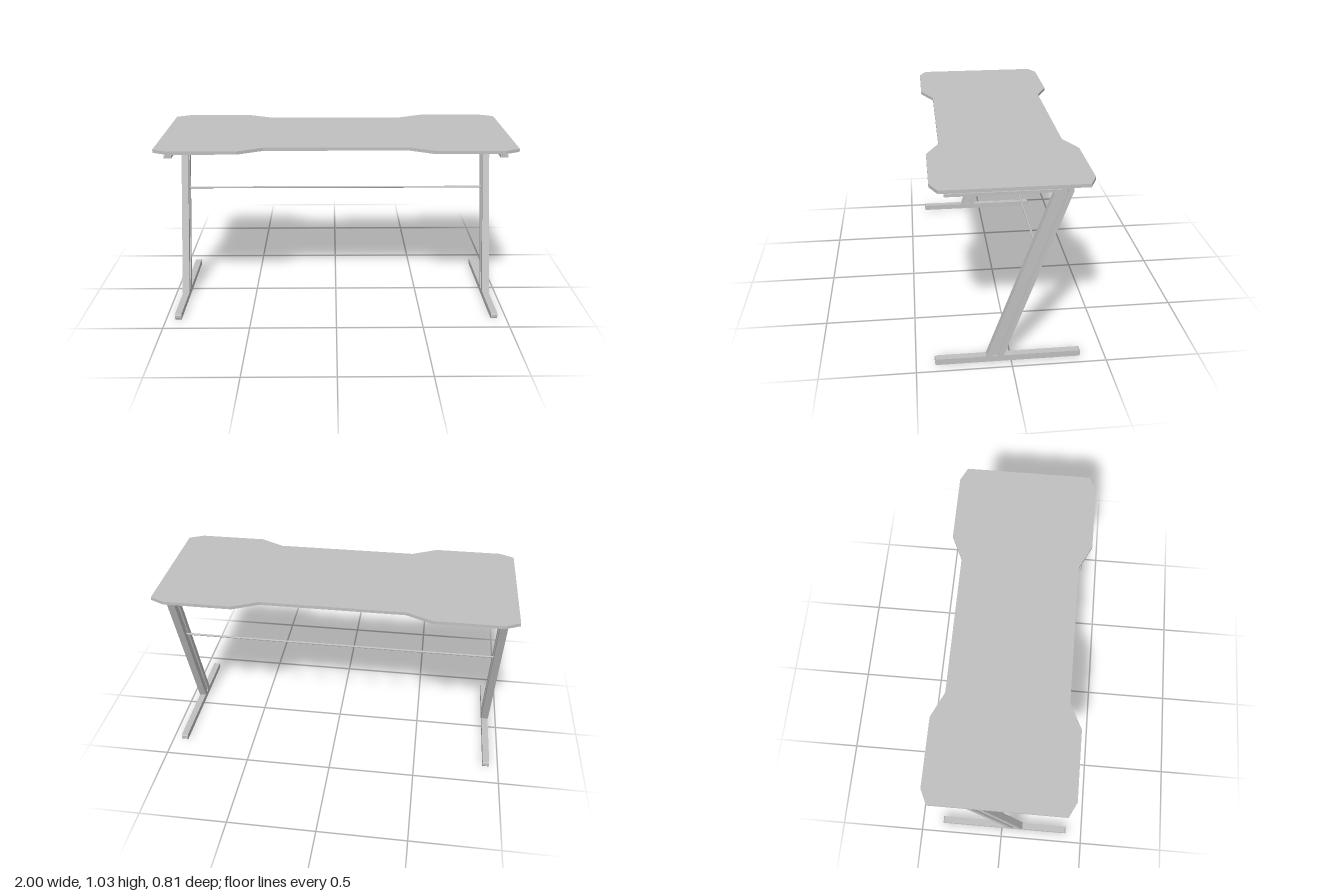
import * as THREE from 'three';

const grey = new THREE.MeshStandardMaterial({ color: 0xc0c0c0 });
grey.name = 'light grey';

// Extrude a [z, y] side profile along x, centred on x = cx
function sideExtrude(points, width, cx, name) {
  const shape = new THREE.Shape(points.map(([z, y]) => new THREE.Vector2(-z, y)));
  const geo = new THREE.ExtrudeGeometry(shape, { depth: width, bevelEnabled: false });
  geo.rotateY(Math.PI / 2);
  geo.translate(cx - width / 2, 0, 0);
  const mesh = new THREE.Mesh(geo, grey);
  mesh.name = name;
  return mesh;
}

// Contours of the leg frame, from its outer edge to its inner edge
const contours = [
  [[0.33, 1.01], [-0.295, 1.01], [-0.295, 0.97], [0.04, 0.034]],
  [[0.33, 0.997], [-0.265, 0.997], [-0.265, 0.967], [0.07, 0.034]],
  [[0.33, 0.983], [-0.235, 0.983], [-0.235, 0.97], [0.10, 0.034]],
  [[0.33, 0.968], [-0.203, 0.968], [0.13, 0.034]],
];

function createLeg(side) {
  const leg = new THREE.Group();
  leg.name = side > 0 ? 'leftLeg' : 'rightLeg';
  const cx = side * 0.928;
  // Three strips; the middle one is narrower and forms a groove on both sides
  ['outerRail', 'groove', 'innerRail'].forEach((name, i) => {
    const outline = [...contours[i], ...[...contours[i + 1]].reverse()];
    leg.add(sideExtrude(outline, i === 1 ? 0.022 : 0.042, cx, name));
  });
  // Foot bar with slightly pointed end caps
  leg.add(sideExtrude([
    [0.396, 0], [0.402, 0.008], [0.402, 0.026], [0.396, 0.034],
    [-0.364, 0.034], [-0.37, 0.026], [-0.37, 0.008], [-0.364, 0],
  ], 0.038, cx, 'foot'));
  return leg;
}

function createTabletop() {
  // Right half of the outline, from back to front, then mirrored
  const half = [
    [0.40, -0.337], [0.54, -0.403], [0.92, -0.403], [1, -0.365],
    [1, 0.36], [0.92, 0.4], [0.54, 0.4], [0.40, 0.33],
  ];
  const outline = [...half, ...half.map(([x, z]) => [-x, z]).reverse()];
  const shape = new THREE.Shape(outline.map(([x, z]) => new THREE.Vector2(x, -z)));
  const geo = new THREE.ExtrudeGeometry(shape, { depth: 0.018, bevelEnabled: false });
  geo.rotateX(-Math.PI / 2);
  geo.translate(0, 1.01, 0);
  const top = new THREE.Mesh(geo, grey);
  top.name = 'tabletop';
  return top;
}

export function createModel() {
  const desk = new THREE.Group();
  desk.name = 'desk';
  desk.add(createTabletop(), createLeg(1), createLeg(-1));

  // Thin rod joining the legs
  const rod = new THREE.Mesh(new THREE.CylinderGeometry(0.006, 0.006, 1.84, 12), grey);
  rod.name = 'crossRod';
  rod.rotation.z = Math.PI / 2;
  rod.position.set(0, 0.637, -0.13);
  desk.add(rod);
  return desk;
}
